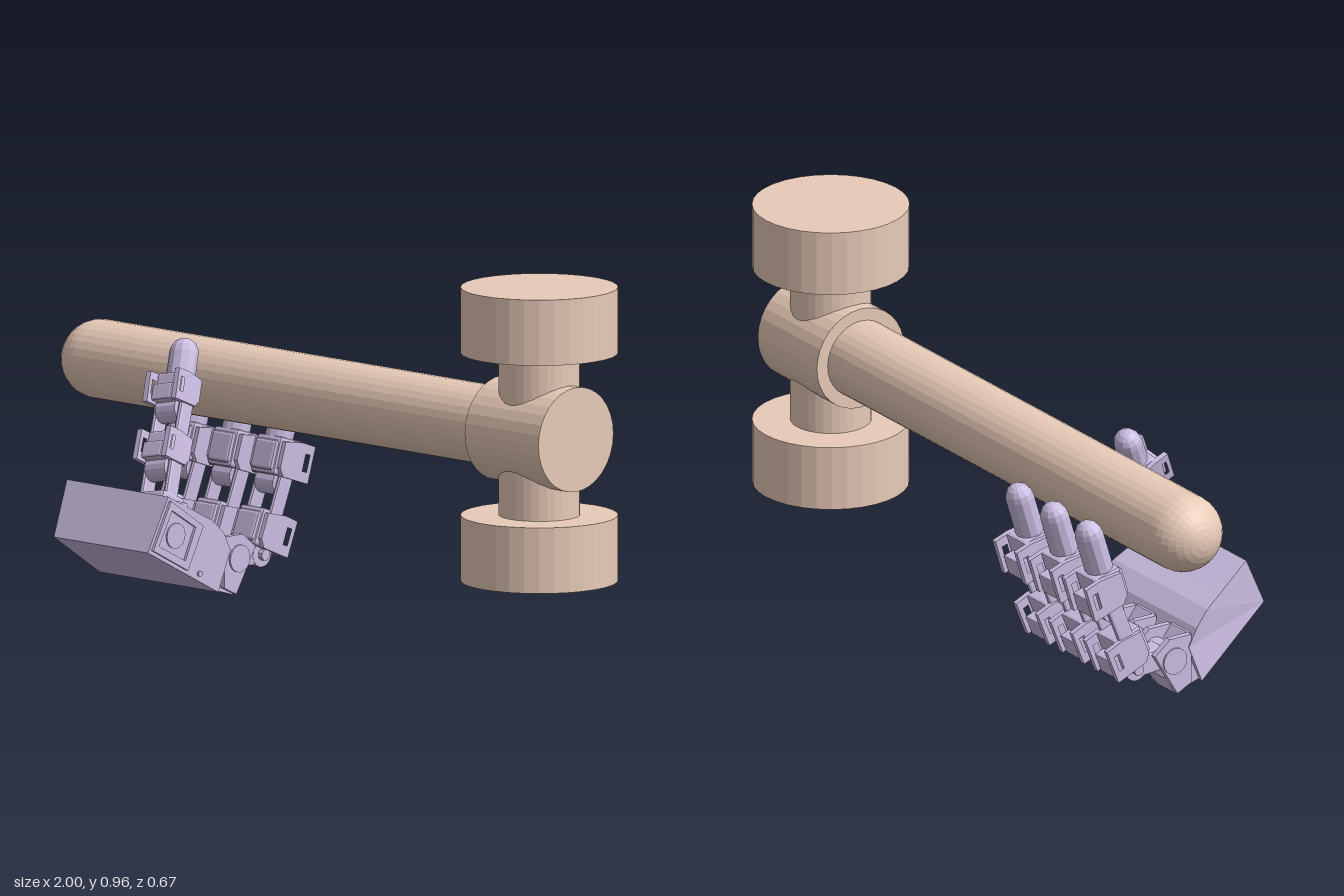
import * as THREE from 'three';
import { RoundedBoxGeometry } from 'three/addons/geometries/RoundedBoxGeometry.js';

const tan = new THREE.MeshStandardMaterial({ color: 0xe8cbb8, flatShading: true });
const lilac = new THREE.MeshStandardMaterial({ color: 0xcbbde2, flatShading: true });
const V = (x, y, z) => new THREE.Vector3(x, y, z);

function add(parent, name, geometry, material, x = 0, y = 0, z = 0) {
  const mesh = new THREE.Mesh(geometry, material);
  mesh.name = name;
  mesh.position.set(x, y, z);
  parent.add(mesh);
  return mesh;
}

// Box given by its minimum and maximum corners
function block(parent, name, a, b, radius = 0.008) {
  const size = b.map((v, i) => v - a[i]);
  const mid = b.map((v, i) => (v + a[i]) / 2);
  return add(parent, name, new RoundedBoxGeometry(...size, 1, radius), lilac, ...mid);
}

// Cylinder lying along x
function pin(parent, name, r, length, x, y, z, sides = 16) {
  const g = new THREE.CylinderGeometry(r, r, length, sides).rotateZ(Math.PI / 2);
  return add(parent, name, g, lilac, x, y, z);
}

// Plate or prism from [z, y] outline points, extruded along x from x0 to x1
function slab(points, x0, x1, hole) {
  const toShape = p => p.map(([z, y]) => new THREE.Vector2(-z, y));
  const shape = new THREE.Shape(toShape(points));
  if (hole) shape.holes.push(new THREE.Path(toShape(hole)));
  return new THREE.ExtrudeGeometry(shape, { depth: x1 - x0, bevelEnabled: false })
    .rotateY(Math.PI / 2).translate(x0, 0, 0);
}

// Group whose y axis runs from one joint to the next and whose z axis faces outward
function limb(parent, name, from, to, outward) {
  const g = new THREE.Group();
  g.name = name;
  const y = to.clone().sub(from).normalize();
  const x = y.clone().cross(outward).normalize();
  const z = x.clone().cross(y);
  g.setRotationFromMatrix(new THREE.Matrix4().makeBasis(x, y, z));
  g.position.copy(from);
  parent.add(g);
  return { g, length: from.distanceTo(to) };
}

// Joint hub, body and pierced side plates of one finger segment
function segmentBody(g, s) {
  pin(g, 'jointHub', 0.035, 0.07, 0, 0, 0);
  pin(g, 'jointPin', 0.016, 0.1, 0, 0, 0, 8);
  block(g, 'segmentBody', [-0.046, 0.015, -0.042 * s], [0.046, 0.1 * s, 0.032 * s]);
  block(g, 'innerPad', [-0.04, 0.025, -0.05 * s], [0.04, 0.09 * s, -0.03 * s]);
  block(g, 'outerCover', [-0.035, 0.012, 0.02 * s], [0.035, 0.06 * s, 0.058 * s], 0.006);
  const outline = [[-0.035, 0.03], [-0.02, 0.012], [0.062, 0.01], [0.062, 0.096], [0.02, 0.098], [-0.035, 0.09]];
  const hole = [[0.036, 0.035], [0.05, 0.035], [0.05, 0.075], [0.036, 0.075]];
  const scaled = p => p.map(([z, y]) => [z * s, y * s]);
  for (const side of [-1, 1]) {
    const x = side * 0.051;
    add(g, 'sidePlate', slab(scaled(outline), x - 0.008, x + 0.008, scaled(hole)), lilac);
  }
}

// Segment that ends in a fork around the next hub
function linkSegment(parent, from, to, outward, s) {
  const { g, length } = limb(parent, 'linkSegment', from, to, outward);
  segmentBody(g, s);
  for (const side of [-1, 1]) {
    block(g, 'forkProng', [side * 0.043 - 0.008, 0.085, -0.025], [side * 0.043 + 0.008, length + 0.025, 0.025]);
  }
}

// Segment that ends in a rounded fingertip
function tipSegment(parent, from, to, outward, s) {
  const { g, length } = limb(parent, 'tipSegment', from, to, outward);
  segmentBody(g, s);
  const r = 0.042, start = 0.07;
  const tip = add(g, 'fingertip', new THREE.CapsuleGeometry(r, length - start - r, 4, 12), lilac,
    0, (start + length - r) / 2, -0.012);
  tip.scale.set(1, 1, 0.9);
}

function buildHammer(root) {
  const hammer = new THREE.Group();
  hammer.name = 'hammer';
  hammer.position.set(0, 0.563, -0.125);
  root.add(hammer);
  const rod = (name, r, x0, x1) => add(hammer, name,
    new THREE.CylinderGeometry(r, r, x1 - x0, 32).rotateZ(Math.PI / 2), tan, (x0 + x1) / 2);
  rod('handle', 0.108, -0.892, 0.7);
  add(hammer, 'handleEnd', new THREE.SphereGeometry(0.108, 32, 8, 0, Math.PI * 2, 0, Math.PI / 2)
    .rotateZ(Math.PI / 2), tan, -0.892);
  rod('collar', 0.143, 0.643, 0.925);
  add(hammer, 'neck', new THREE.CylinderGeometry(0.11, 0.11, 0.5, 32), tan, 0.785);
  for (const side of [-1, 1]) {
    add(hammer, 'hammerHead', new THREE.CylinderGeometry(0.213, 0.213, 0.18, 32), tan, 0.785, side * 0.312);
  }
}

function buildPalm(hand) {
  // Main shell, narrowing toward the wrist on its right side
  const shell = slab([[0.335, 0.165], [0.067, 0.025], [0.02, 0.135], [0.045, 0.185], [0.09, 0.225],
    [0.14, 0.25], [0.258, 0.31]], -0.71, -0.25);
  const p = shell.attributes.position;
  for (let i = 0; i < p.count; i++) {
    if (p.getX(i) < -0.5) p.setX(i, p.getX(i) + 0.35 * Math.max(0, p.getZ(i) - 0.05));
  }
  add(hand, 'palm', shell, lilac);
  // Side frame with an open window, and its fasteners
  add(hand, 'palmSideFrame', slab([[0.322, 0.17], [0.19, 0.1], [0.13, 0.215], [0.254, 0.298]],
    -0.252, -0.242, [[0.3, 0.18], [0.2, 0.128], [0.16, 0.215], [0.25, 0.272]]), lilac);
  pin(hand, 'palmBolt', 0.008, 0.01, -0.249, 0.085, 0.14, 8);
  pin(hand, 'palmBolt', 0.008, 0.01, -0.249, 0.15, 0.265, 8);
}

function buildFinger(hand, x) {
  const finger = new THREE.Group();
  finger.name = 'finger';
  finger.position.x = x;
  hand.add(finger);
  const back = V(0, -0.5, -0.85);
  // Knuckle mount with two cheeks around the base hub
  add(finger, 'knuckleMount', slab([[0.085, 0.035], [-0.015, 0.005], [-0.04, 0.05], [0.0, 0.13],
    [0.03, 0.17], [0.06, 0.17]], -0.042, 0.042), lilac);
  for (const side of [-1, 1]) {
    add(finger, 'knuckleCheek', slab([[0.03, 0.03], [-0.015, 0.008], [-0.088, 0.13], [-0.04, 0.17], [0.03, 0.17]],
      side * 0.048 - 0.009, side * 0.048 + 0.009), lilac);
  }
  pin(finger, 'knuckleHub', 0.038, 0.124, 0, 0.105, -0.025);
  const base = V(0, 0.105, -0.035), middle = V(0, 0.1, -0.135), upper = V(0, 0.287, -0.21);
  const { g, length } = limb(finger, 'knuckleLink', base, middle, V(0, -1, 0));
  block(g, 'linkBar', [-0.034, 0, -0.035], [0.034, length, 0.03]);
  linkSegment(finger, middle, upper, back, 1.2);
  tipSegment(finger, upper, V(0, 0.545, -0.29), back, 1.2);
}

function buildThumb(hand) {
  const thumb = new THREE.Group();
  thumb.name = 'thumb';
  hand.add(thumb);
  const front = V(0, 0.46, 0.89);
  const root = V(-0.335, 0.2, 0.232), lower = V(-0.373, 0.36, 0.156);
  const upper = V(-0.41, 0.506, 0.08), tip = V(-0.457, 0.69, -0.005);
  // Swivel mount at the side of the palm
  const { g, length } = limb(thumb, 'thumbMount', root, lower, front);
  block(g, 'mountBody', [-0.055, -0.02, -0.05], [0.055, 0.105, 0.042]);
  for (const side of [-1, 1]) {
    block(g, 'forkProng', [side * 0.043 - 0.008, 0.08, -0.025], [side * 0.043 + 0.008, length + 0.025, 0.025]);
  }
  pin(thumb, 'swivelHub', 0.035, 0.1, -0.295, 0.2, 0.232);
  block(thumb, 'swivelBracket', [-0.31, 0.16, 0.18], [-0.25, 0.285, 0.26]);
  linkSegment(thumb, lower, upper, front, 1);
  tipSegment(thumb, upper, tip, front, 1);
}

export function createModel() {
  const root = new THREE.Group();
  root.name = 'handHoldingHammer';
  buildHammer(root);
  const hand = new THREE.Group();
  hand.name = 'mechanicalHand';
  root.add(hand);
  buildPalm(hand);
  for (const x of [-0.65, -0.485, -0.32]) buildFinger(hand, x);
  buildThumb(hand);
  return root;
}
